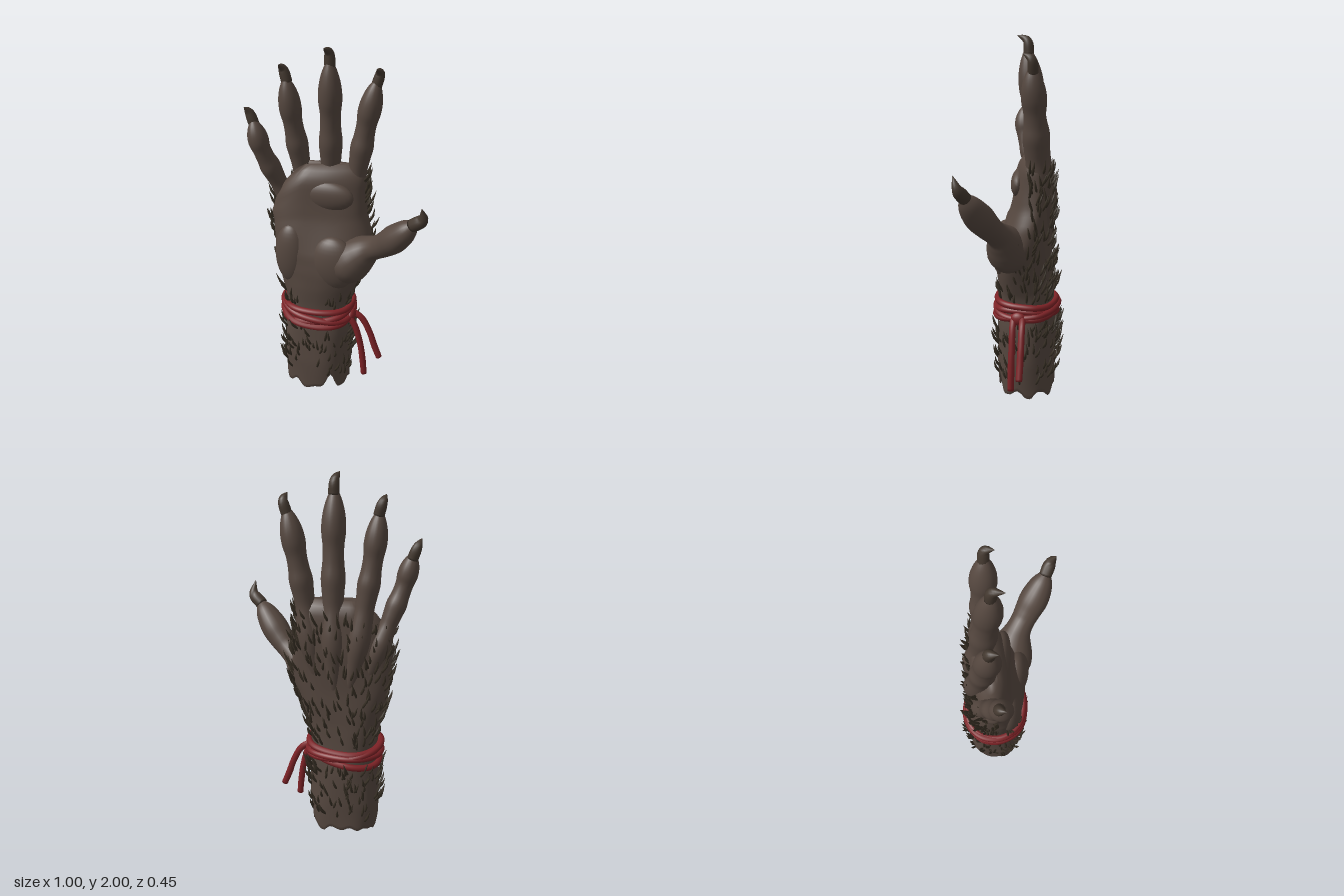
import * as THREE from 'three';
import { mergeGeometries } from 'three/addons/utils/BufferGeometryUtils.js';

const V = (x, y, z) => new THREE.Vector3(x, y, z);
const material = (name, color) => {
  const m = new THREE.MeshStandardMaterial({ color });
  m.name = name;
  return m;
};
let seed = 7;
const rand = () => (seed = (seed * 16807) % 2147483647) / 2147483647;
const smooth = THREE.MathUtils.smoothstep;

// Closed skin over rings of points, with both ends capped
function loft(rings) {
  const n = rings[0].length, pos = [], idx = [];
  rings.forEach(r => r.forEach(p => pos.push(p.x, p.y, p.z)));
  for (let i = 0; i < rings.length - 1; i++) {
    for (let j = 0; j < n; j++) {
      const a = i * n + j, b = i * n + (j + 1) % n;
      idx.push(a, a + n, b, a + n, b + n, b);
    }
  }
  const last = (rings.length - 1) * n;
  for (let j = 1; j < n - 1; j++) idx.push(0, j, j + 1, last, last + j + 1, last + j);
  const g = new THREE.BufferGeometry();
  g.setAttribute('position', new THREE.Float32BufferAttribute(pos, 3));
  g.setIndex(idx);
  g.computeVertexNormals();
  return g;
}

// Tapered limb: a smooth path with radii spread evenly along it
function limb(points, radii, steps = 48, sides = 18, depth = 1) {
  const path = new THREE.CatmullRomCurve3(points);
  const size = new THREE.CatmullRomCurve3(radii.map((r, i) => V(r, i * 0.05, 0)));
  const rings = [];
  for (let i = 0; i <= steps; i++) {
    const t = i / steps, c = path.getPoint(t), r = Math.max(size.getPoint(t).x, 0.0008);
    const dir = path.getTangent(t);
    const u = dir.clone().cross(V(0, 0, 1)).normalize(), v = u.clone().cross(dir);
    rings.push(Array.from({ length: sides }, (_, j) => {
      const a = j / sides * Math.PI * 2;
      return c.clone().addScaledVector(u, Math.cos(a) * r).addScaledVector(v, Math.sin(a) * r * depth);
    }));
  }
  return loft(rings);
}

// Arm and palm sections: y, centre x, half width, centre z, half depth
const SECTIONS = [
  [0, -0.145, 0.185, -0.02, 0.155], [0.2, -0.145, 0.195, -0.02, 0.163],
  [0.4, -0.14, 0.19, -0.02, 0.158], [0.5, -0.14, 0.178, -0.02, 0.152],
  [0.6, -0.135, 0.188, -0.017, 0.15], [0.7, -0.125, 0.212, -0.01, 0.152],
  [0.8, -0.115, 0.24, -0.01, 0.153], [0.9, -0.112, 0.262, -0.015, 0.145],
  [1.0, -0.118, 0.262, -0.03, 0.13], [1.1, -0.13, 0.25, -0.045, 0.115],
  [1.2, -0.135, 0.25, -0.05, 0.102], [1.3, -0.125, 0.235, -0.055, 0.09],
  [1.35, -0.115, 0.205, -0.06, 0.07], [1.38, -0.11, 0.14, -0.06, 0.03],
];
function armPoint(a, y, scale = 1) {
  let i = 0;
  while (i < SECTIONS.length - 2 && y > SECTIONS[i + 1][0]) i++;
  const A = SECTIONS[i], B = SECTIONS[i + 1], k = (y - A[0]) / (B[0] - A[0]);
  const [cx, w, cz, d] = [1, 2, 3, 4].map(n => A[n] + (B[n] - A[n]) * k);
  const bend = q => Math.sign(q) * Math.abs(q) ** 0.85;
  const lump = 1 + 0.012 * Math.sin(a * 5 + y * 9) + 0.01 * Math.sin(a * 3 - y * 17);
  const dx = bend(Math.cos(a)) * w * scale * lump, x = cx + dx;
  const z = cz + bend(Math.sin(a)) * d * scale * lump - dx * 0.2 * smooth(y, 0.7, 1.2);
  return V(x, y - Math.max(0, -0.2 - x) * 0.65 * smooth(y, 0.95, 1.3), z);
}
// Torn lower edge with one deep notch
const hem = a => 0.022 + 0.018 * Math.sin(a * 7) + 0.016 * Math.sin(a * 11 + 1) * Math.cos(a * 2)
  + 0.085 * Math.exp(-(((a - 0.95) / 0.2) ** 2)) + 0.035 * Math.exp(-(((a - 4.3) / 0.3) ** 2));

function armGeometry() {
  const n = 72, rows = 60, rings = [];
  const ring = f => rings.push(Array.from({ length: n }, (_, j) => f(j / n * Math.PI * 2)));
  ring(a => armPoint(a, 0.08, 0.02));
  ring(a => armPoint(a, hem(a) + 0.04, 0.8));
  ring(a => armPoint(a, hem(a) + 0.005, 0.95));
  for (let i = 0; i <= rows; i++) ring(a => armPoint(a, THREE.MathUtils.lerp(Math.max(hem(a), 0.002), 1.38, i / rows)));
  return loft(rings);
}

// Each digit: path from the tendon to the tip, overall thickness, claw path
const DIGITS = {
  little: { path: [[-0.22, 0.82, -0.08], [-0.31, 1.1, -0.06], [-0.365, 1.28, -0.01], [-0.42, 1.47, 0.05], [-0.455, 1.63, 0.06]],
    size: 0.92, claw: [[-0.45, 1.59, 0.05], [-0.472, 1.655, 0.055], [-0.485, 1.69, 0.085]] },
  ring: { path: [[-0.17, 0.82, -0.11], [-0.22, 1.12, -0.105], [-0.25, 1.38, -0.07], [-0.275, 1.62, -0.035], [-0.293, 1.85, -0.005]],
    size: 1, claw: [[-0.288, 1.81, -0.015], [-0.305, 1.875, -0.01], [-0.313, 1.905, 0.03]] },
  middle: { path: [[-0.11, 0.82, -0.12], [-0.1, 1.12, -0.125], [-0.085, 1.38, -0.09], [-0.075, 1.67, -0.06], [-0.068, 1.95, -0.03]],
    size: 1.06, claw: [[-0.068, 1.9, -0.04], [-0.07, 1.97, -0.03], [-0.078, 2.0, 0.025]] },
  index: { path: [[-0.04, 0.82, -0.11], [0.02, 1.12, -0.12], [0.065, 1.38, -0.105], [0.108, 1.62, -0.105], [0.158, 1.85, -0.1]],
    size: 1.04, claw: [[0.15, 1.8, -0.105], [0.17, 1.87, -0.1], [0.165, 1.9, -0.055]] },
};
const FINGER_RADII = [0.012, 0.03, 0.04, 0.048, 0.058, 0.06, 0.054, 0.049, 0.053, 0.058, 0.051, 0.05, 0.057, 0.053, 0.036, 0.004];

export function createModel() {
  const group = new THREE.Group();
  const skin = material('brown skin', 0x55473f);
  const clawSkin = material('dark claw', 0x43382f);
  const hair = material('dark fur', 0x383025);
  const red = material('red cord', 0x7d2226);
  const add = (name, geometry, mat) => {
    const m = new THREE.Mesh(geometry, mat);
    m.name = name;
    group.add(m);
    return m;
  };
  const pts = list => list.map(p => V(...p));

  add('forearmAndPalm', armGeometry(), skin);

  // Fingers with tendons running down the back of the hand
  for (const [name, d] of Object.entries(DIGITS)) {
    add(name + 'Finger', limb(pts(d.path), FINGER_RADII.map(r => r * d.size), 64, 20, 1.12), skin);
    add(name + 'Claw', limb(pts(d.claw), [0.028, 0.027, 0.018, 0.001], 14, 12), clawSkin);
  }

  // Thumb, rising out of the ball of the palm
  add('thumb', limb(pts([[-0.04, 0.72, 0.03], [0.06, 0.86, 0.035], [0.16, 0.96, 0.055], [0.26, 1.03, 0.095],
    [0.36, 1.13, 0.145], [0.445, 1.235, 0.185]]),
  [0.03, 0.085, 0.115, 0.11, 0.09, 0.068, 0.062, 0.067, 0.073, 0.066, 0.048, 0.005], 56, 22, 1.08), skin);
  add('thumbClaw', limb(pts([[0.425, 1.21, 0.175], [0.48, 1.26, 0.195], [0.478, 1.33, 0.22]]), [0.034, 0.034, 0.02, 0.001], 16, 12), clawSkin);

  // Soft pads on the palm
  const pads = [[-0.02, 0.86, 0.08, 0.13, 0.16, 0.072], [-0.26, 0.88, 0.08, 0.09, 0.18, 0.062],
    [-0.1, 1.22, 0.0, 0.17, 0.09, 0.055]];
  pads.forEach(([x, y, z, w, h, d]) => {
    const pad = add('palmPad', new THREE.SphereGeometry(1, 28, 18), skin);
    pad.position.set(x, y, z);
    pad.scale.set(w, h, d);
  });

  // Fur: curved strands sweeping upwards and away from the surface
  const strands = [];
  const strand = (a, y) => {
    const p = armPoint(a, y, 0.98);
    const out = V(Math.cos(a) * 0.7, 0, Math.sin(a)).normalize();
    const side = V(-out.z, 0, out.x).multiplyScalar((rand() - 0.5) * 0.7);
    const len = 0.055 + rand() * 0.045, lift = 0.2 + rand() * 0.4;
    const dir = V(0, 0.9, 0).addScaledVector(out, lift).add(side).normalize();
    const mid = p.clone().addScaledVector(dir, len * 0.5).addScaledVector(out, 0.006);
    const tip = p.clone().addScaledVector(dir, len).addScaledVector(V(0, 1, 0), 0.008);
    strands.push(limb([p, mid, tip], [0.006, 0.0075, 0.0005], 4, 5));
  };
  for (let i = 0; i < 150; i++) strand(rand() * Math.PI * 2, 0.09 + rand() * 0.33);
  for (let i = 0; i < 45; i++) strand(rand() * Math.PI * 2, 0.56 + rand() * 0.09);
  for (let i = 0; i < 190; i++) strand(Math.PI * (0.95 + rand() * 1.1), 0.62 + rand() * 0.68);
  add('fur', mergeGeometries(strands), hair);

  // Cord wrapped round the wrist: height, tilt, turn of the tilt, slack
  [[0.55, 0.012, 1.5, 0.012], [0.515, 0.035, 3.0, 0.02], [0.485, 0.04, 0.2, 0.012], [0.495, 0.025, 4.4, 0.022]].forEach(([y, tilt, turn, slack]) => {
    const loop = Array.from({ length: 28 }, (_, j) => {
      const a = j / 28 * Math.PI * 2, p = armPoint(a, y);
      return V(p.x + Math.cos(a) * slack, y + tilt * Math.cos(a - turn), p.z + Math.sin(a) * slack);
    });
    add('cordWrap', new THREE.TubeGeometry(new THREE.CatmullRomCurve3(loop, true), 110, 0.018, 10, true), red);
  });
  const knot = add('cordKnot', new THREE.SphereGeometry(0.034, 16, 12), red);
  knot.position.set(0.058, 0.485, -0.01);
  knot.scale.set(0.8, 1.1, 1.3);

  // Two loose cord ends
  const ends = [
    [[0.04, 0.5, 0.02], [0.085, 0.44, 0.018], [0.12, 0.32, 0.015], [0.138, 0.2, 0.015], [0.147, 0.1, 0.015]],
    [[0.04, 0.5, -0.03], [0.11, 0.455, -0.04], [0.16, 0.36, -0.045], [0.19, 0.27, -0.046], [0.22, 0.19, -0.047]],
  ];
  ends.forEach(e => add('cordEnd', limb(pts(e), [0.018, 0.018, 0.018, 0.019, 0.018], 28, 10), red));

  return group;
}
